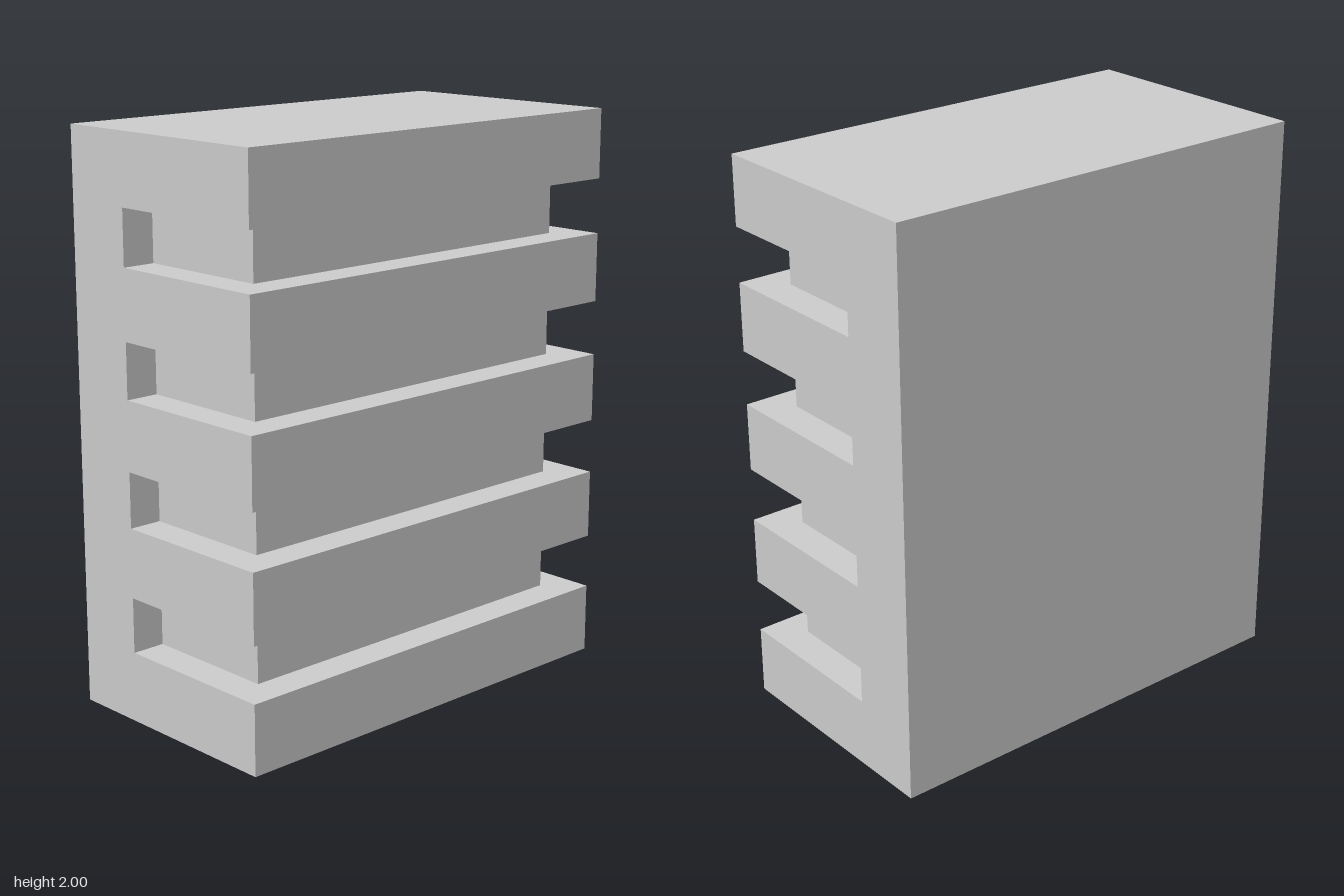
import * as THREE from 'three';

const WIDTH = 1.624, HEIGHT = 2, HALF_DEPTH = 0.438;
const GROOVE_BACK = -0.176, GROOVE_HEIGHT = 0.194, PITCH = 0.438, FIRST_GROOVE = 0.247;
const CORE_WIDTH = 1.384, CORE_FRONT = 0.317;

export function createModel() {
  const group = new THREE.Group();
  const material = new THREE.MeshStandardMaterial({ color: 0xcccccc, flatShading: true });

  // Side profile (z, y): solid back with five shelves reaching forward
  const profile = new THREE.Shape();
  profile.moveTo(-HALF_DEPTH, 0);
  profile.lineTo(HALF_DEPTH, 0);
  for (let i = 0; i < 4; i++) {
    const bottom = FIRST_GROOVE + i * PITCH;
    const top = bottom + GROOVE_HEIGHT;
    profile.lineTo(HALF_DEPTH, bottom);
    profile.lineTo(GROOVE_BACK, bottom);
    profile.lineTo(GROOVE_BACK, top);
    profile.lineTo(HALF_DEPTH, top);
  }
  profile.lineTo(HALF_DEPTH, HEIGHT);
  profile.lineTo(-HALF_DEPTH, HEIGHT);
  profile.closePath();

  // Extrude the profile across the full width
  const bodyGeometry = new THREE.ExtrudeGeometry(profile, { depth: WIDTH, bevelEnabled: false });
  bodyGeometry.rotateY(-Math.PI / 2).translate(WIDTH / 2, 0, 0);
  const body = new THREE.Mesh(bodyGeometry, material);
  body.name = 'groovedBody';
  group.add(body);

  // Inset blocks that fill the middle of each groove
  const coreDepth = CORE_FRONT - GROOVE_BACK;
  const coreGeometry = new THREE.BoxGeometry(CORE_WIDTH, GROOVE_HEIGHT, coreDepth);
  for (let i = 0; i < 4; i++) {
    const core = new THREE.Mesh(coreGeometry, material);
    core.name = `insetBlock${i + 1}`;
    core.position.set(0, FIRST_GROOVE + i * PITCH + GROOVE_HEIGHT / 2, GROOVE_BACK + coreDepth / 2);
    group.add(core);
  }

  return group;
}
